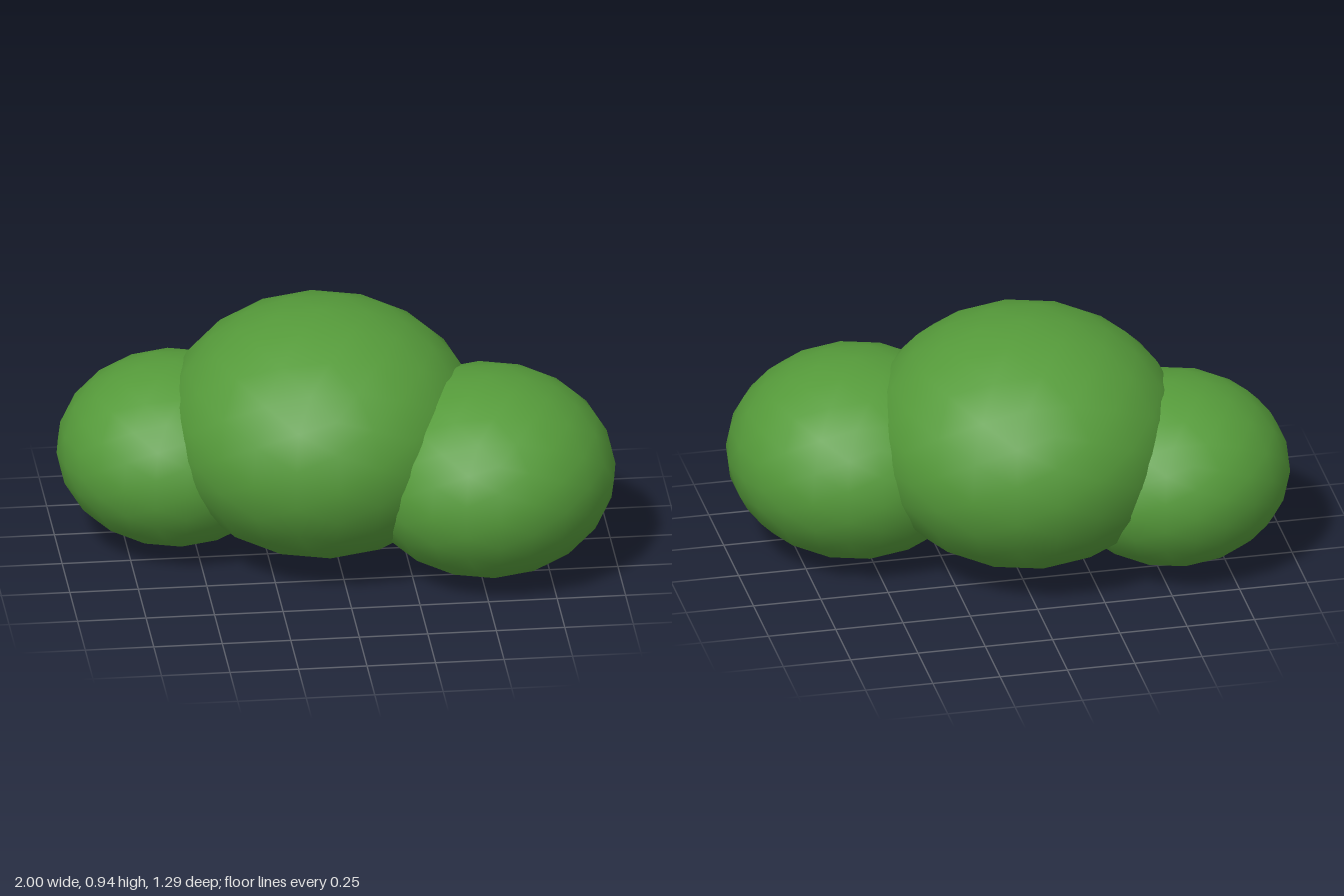
import * as THREE from 'three';

export function createModel() {
  const bush = new THREE.Group();
  bush.name = 'bush';

  const leafGreen = new THREE.MeshStandardMaterial({ color: 0x559a3a });
  leafGreen.name = 'leaf green';

  // Smooth, coarse ball shared by all the lumps of foliage
  const ball = new THREE.IcosahedronGeometry(1, 3);

  // name, centre, radii
  const lumps = [
    ['middleFoliage', [-0.05, 0.49, -0.05], [0.58, 0.46, 0.6]],
    ['leftFoliage', [0.53, 0.38, 0.17], [0.47, 0.375, 0.475]],
    ['rightFoliage', [-0.57, 0.365, -0.18], [0.43, 0.345, 0.43]],
  ];
  for (const [name, centre, radii] of lumps) {
    const lump = new THREE.Mesh(ball, leafGreen);
    lump.name = name;
    lump.position.set(...centre);
    lump.scale.set(...radii);
    bush.add(lump);
  }
  return bush;
}
